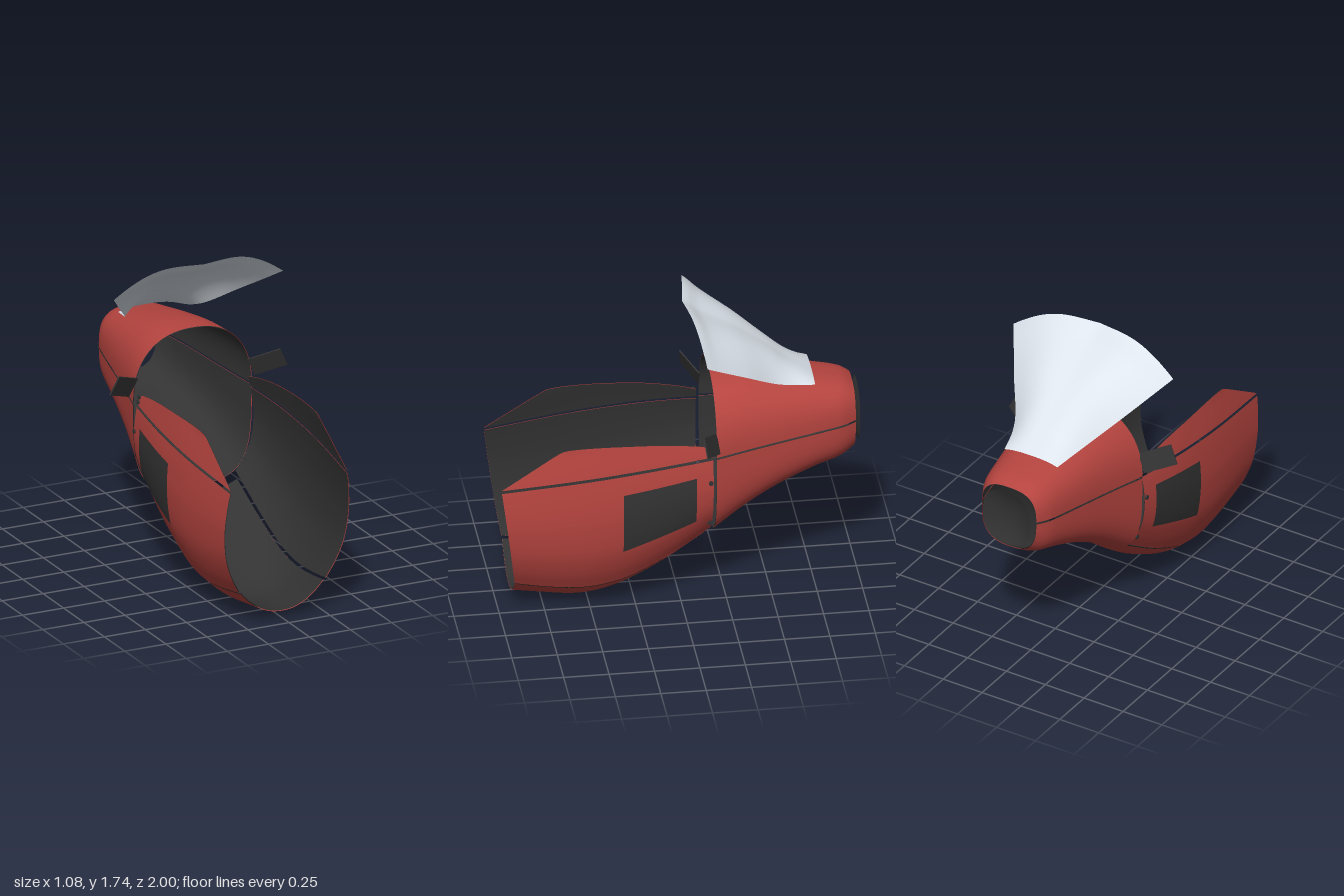
import * as THREE from 'three';

const RED = 0xb5443f, DARK = 0x333333;

// Smooth lookup through [x, y] points sorted by rising x
function curve(pts) {
  const n = pts.length;
  const slope = (i) => {
    const a = pts[Math.max(i - 1, 0)], b = pts[Math.min(i + 1, n - 1)];
    return (b[1] - a[1]) / (b[0] - a[0]);
  };
  return (x) => {
    let i = 0;
    while (i < n - 2 && x > pts[i + 1][0]) i++;
    const [x0, y0] = pts[i], [x1, y1] = pts[i + 1];
    const h = x1 - x0, t = THREE.MathUtils.clamp((x - x0) / h, 0, 1);
    const t2 = t * t, t3 = t2 * t;
    return y0 * (2 * t3 - 3 * t2 + 1) + y1 * (3 * t2 - 2 * t3)
      + h * (slope(i) * (t3 - 2 * t2 + t) + slope(i + 1) * (t3 - t2));
  };
}

// Surface from a rule f(u, v) -> [x, y, z]; it faces along dU x dV
function surface(nu, nv, f) {
  const pos = [], idx = [];
  for (let i = 0; i <= nu; i++) for (let j = 0; j <= nv; j++) pos.push(...f(i / nu, j / nv));
  for (let i = 0; i < nu; i++) for (let j = 0; j < nv; j++) {
    const a = i * (nv + 1) + j, b = a + nv + 1;
    idx.push(a, b, a + 1, b, b + 1, a + 1);
  }
  const g = new THREE.BufferGeometry();
  g.setAttribute('position', new THREE.Float32BufferAttribute(pos, 3));
  g.setIndex(idx);
  g.computeVertexNormals();
  return g;
}

function mesh(name, geometry, color, side = THREE.FrontSide) {
  const m = new THREE.Mesh(geometry, new THREE.MeshStandardMaterial({ color, side }));
  m.name = name;
  return m;
}

// Thin panel: a red outer skin and a dark lining just inside it, both double-sided
function panel(name, geometry) {
  const lining = geometry.clone();
  const p = lining.attributes.position, n = lining.attributes.normal;
  for (let i = 0; i < p.count; i++) {
    p.setXYZ(i, p.getX(i) - 0.004 * n.getX(i), p.getY(i) - 0.004 * n.getY(i), p.getZ(i) - 0.004 * n.getZ(i));
  }
  lining.setIndex(Array.from(lining.index.array).reverse());
  lining.computeVertexNormals();
  const g = new THREE.Group();
  g.name = name;
  g.add(mesh(name + 'Skin', geometry, RED, THREE.DoubleSide), mesh(name + 'Lining', lining, DARK, THREE.DoubleSide));
  return g;
}

const mix = THREE.MathUtils.lerp;

// Front body, by z
const bodyHalfWidth = curve([[-0.165, 0.365], [0, 0.387], [0.2, 0.404], [0.45, 0.41], [0.65, 0.403], [0.92, 0.382], [1, 0.375]]);
const keelY = curve([[-0.13, 0.368], [-0.05, 0.29], [0.1, 0.177], [0.3, 0.066], [0.45, 0.013], [0.58, 0], [0.75, 0.02], [0.92, 0.042]]);
const lowSeamY = curve([[-0.165, 0.45], [-0.05, 0.375], [0.1, 0.285], [0.3, 0.19], [0.45, 0.153], [0.58, 0.145], [0.75, 0.16], [0.92, 0.187], [1, 0.2]]);
const highSeamY = curve([[-0.165, 0.93], [0.1, 0.91], [0.5, 0.87], [1, 0.815]]);
const sideTopY = curve([[-0.165, 0.985], [-0.1, 1.005], [0.1, 1.035], [0.3, 1.047], [0.5, 1.05], [0.65, 1.04], [0.7, 1.015], [0.85, 0.92], [1, 0.824]]);
const sideShape = curve([[0, 0.69], [0.15, 0.83], [0.35, 0.95], [0.6, 1], [0.8, 0.99], [1, 0.95], [1.25, 0.865]]);
const sideX = (z, y) => bodyHalfWidth(z) * sideShape((y - lowSeamY(z)) / (highSeamY(z) - lowSeamY(z)));

// Tail, by -z
const tailHalfWidth = curve([[0.18, 0.362], [0.4, 0.315], [0.6, 0.277], [0.8, 0.238], [0.9, 0.213], [0.975, 0.174]]);
const tailTopY = curve([[0.18, 1.322], [0.35, 1.318], [0.55, 1.288], [0.75, 1.25], [0.92, 1.215], [0.975, 1.183]]);
const tailBottomY = curve([[0.18, 0.4], [0.36, 0.525], [0.55, 0.63], [0.75, 0.71], [0.9, 0.755], [0.975, 0.803]]);
const tailSeamY = curve([[0.18, 0.935], [0.5, 0.967], [0.8, 0.995], [0.975, 1.008]]);

function tailHalf(upper) {
  return surface(30, 56, (u, v) => {
    const d = mix(0.183, 0.973, u), a = Math.PI * v;
    const n = upper ? mix(2.3, 2.8, u) : mix(3.6, 2.7, u);
    const c = Math.cos(a) * (upper ? 1 : -1);
    const x = tailHalfWidth(d) * Math.sign(c) * Math.abs(c) ** (2 / n);
    const base = tailSeamY(d) + (upper ? 0.006 : -0.006);
    const end = upper ? tailTopY(d) : tailBottomY(d);
    return [x, base + (end - base) * Math.max(Math.sin(a), 0) ** (2 / n), -d];
  });
}

// Everything that repeats left and right
function bodySide(name) {
  const side = new THREE.Group();
  side.name = name;

  side.add(panel('sidePanel', surface(40, 24, (u, v) => {
    const z = mix(mix(0.917, 1, v ** 0.9), -0.165, u);
    const y = mix(lowSeamY(z) + 0.003, highSeamY(z) - 0.008, v);
    return [sideX(z, y), y, z];
  })));

  side.add(panel('upperSidePanel', surface(48, 8, (u, v) => {
    const z = mix(1, -0.165, u);
    const y = mix(highSeamY(z) + 0.008, sideTopY(z), v);
    return [sideX(z, y), y, z];
  })));

  // Dark patch lying on the side panel
  side.add(mesh('sideVent', surface(12, 12, (u, v) => {
    const z = mix(0.335, -0.07, u);
    const y = mix(mix(0.41, 0.55, u), mix(0.77, 0.83, u), v);
    return [sideX(z, y) + 0.004, y, z];
  }), DARK, THREE.DoubleSide));

  // Fasteners along the rear edge
  for (const y of [0.51, 0.79, 0.955, 0.983]) {
    const f = mesh('fastener', new THREE.CylinderGeometry(0.013, 0.013, 0.01, 14), DARK);
    f.rotation.z = Math.PI / 2;
    f.position.set(sideX(-0.15, y) + 0.004, y, -0.15);
    side.add(f);
  }

  // Mirror plate, swept outward and forward, its top leaning forward
  const mirror = mesh('mirror', new THREE.BoxGeometry(0.19, 0.115, 0.008), DARK);
  mirror.position.set(0.437, 1.062, -0.145);
  mirror.rotation.set(0.3, -0.4, 0.36, 'YXZ');
  side.add(mirror);
  return side;
}

export function createModel() {
  const model = new THREE.Group();
  model.name = 'fairing';

  const left = bodySide('leftSide'), right = bodySide('rightSide');
  right.scale.x = -1;
  model.add(left, right);

  // Belly between the two lower seams
  model.add(panel('bellyPanel', surface(36, 32, (u, v) => {
    const z = mix(0.915, -0.127, u), s = v * 2 - 1;
    const edge = lowSeamY(z) - 0.008;
    return [s * (bodyHalfWidth(z) * 0.69 - 0.012), keelY(z) + (edge - keelY(z)) * Math.abs(s) ** 2.2, z];
  })));

  model.add(panel('upperTail', tailHalf(true)), panel('lowerTail', tailHalf(false)));

  // Dished cap behind the tail opening
  model.add(mesh('tailCap', surface(14, 56, (u, v) => {
    const a = v * Math.PI * 2, c = Math.cos(a), s = Math.sin(a);
    return [
      u * 0.151 * Math.sign(c) * Math.abs(c) ** 0.78,
      1.0 + u * 0.169 * Math.sign(s) * Math.abs(s) ** 0.78,
      -0.965 - 0.035 * u * u,
    ];
  }), DARK, THREE.DoubleSide));

  // Flared windscreen rising forward from the tail
  const width = curve([[0, 0.17], [0.2, 0.205], [0.35, 0.25], [0.6, 0.36], [1, 0.515]]);
  const crownY = curve([[0, 1.268], [0.2, 1.355], [0.35, 1.44], [0.6, 1.565], [0.88, 1.675], [0.95, 1.717], [1, 1.737]]);
  const edgeY = curve([[0, 1.25], [0.2, 1.278], [0.35, 1.32], [0.6, 1.43], [1, 1.59]]);
  model.add(mesh('windscreen', surface(28, 32, (u, v) => {
    const s = v * 2 - 1, k = Math.abs(s);
    const z = mix(-0.75, -0.04, u) - 0.07 * u * u * k;
    const swell = 0.012 * u * Math.sin(Math.PI * k) ** 2;
    return [s * width(u), mix(crownY(u), edgeY(u), k ** 2.7) + swell, z];
  }), 0xdde4ec, THREE.DoubleSide));

  return model;
}
